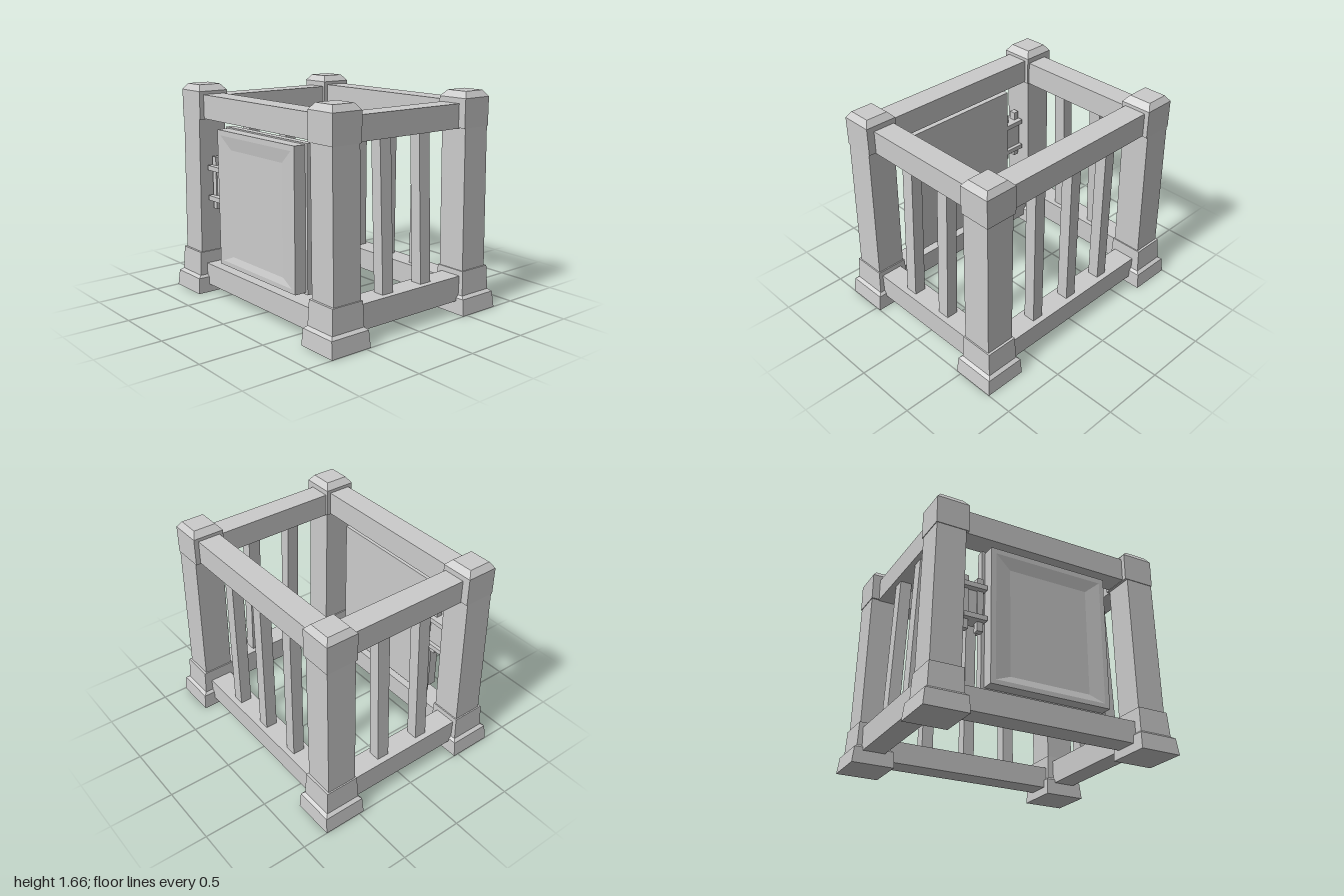
import * as THREE from 'three';

const material = new THREE.MeshStandardMaterial({ color: 0xcccccc, flatShading: true });

// Stack of rectangular sections [y, x0, x1, z0, z1], closed at both ends.
function loft(name, sections) {
  const rings = sections.map(([y, x0, x1, z0, z1]) => [
    [x0, y, z1], [x1, y, z1], [x1, y, z0], [x0, y, z0],
  ]);
  const pos = [];
  const quad = (a, b, c, d) => pos.push(...a, ...b, ...c, ...a, ...c, ...d);
  for (let i = 0; i < rings.length - 1; i++) {
    for (let k = 0; k < 4; k++) {
      const n = (k + 1) % 4;
      quad(rings[i][k], rings[i][n], rings[i + 1][n], rings[i + 1][k]);
    }
  }
  quad(...rings[rings.length - 1]);
  quad(...[...rings[0]].reverse());
  const geometry = new THREE.BufferGeometry();
  geometry.setAttribute('position', new THREE.Float32BufferAttribute(pos, 3));
  geometry.computeVertexNormals();
  const mesh = new THREE.Mesh(geometry, material);
  mesh.name = name;
  return mesh;
}

// Axis-aligned box given by its extents.
const block = (name, x0, x1, y0, y1, z0, z1) =>
  loft(name, [[y0, x0, x1, z0, z1], [y1, x0, x1, z0, z1]]);

// Place a section written for the +x +z corner in another corner.
const mirror = (sections, sx, sz) => sections.map(([y, x0, x1, z0, z1]) => [
  y,
  sx > 0 ? x0 : -x1, sx > 0 ? x1 : -x0,
  sz > 0 ? z0 : -z1, sz > 0 ? z1 : -z0,
]);

function createPost(sx, sz) {
  const post = new THREE.Group();
  post.name = 'cornerPost';
  const add = (name, sections) => post.add(loft(name, mirror(sections, sx, sz)));
  add('foot', [
    [0, 0.67, 1.0, 0.46, 0.8],
    [0.125, 0.675, 0.985, 0.465, 0.79],
    [0.148, 0.70, 0.955, 0.49, 0.76],
  ]);
  add('collar', [
    [0.14, 0.695, 0.96, 0.485, 0.765],
    [0.33, 0.70, 0.95, 0.49, 0.755],
  ]);
  add('shaft', [
    [0.32, 0.71, 0.94, 0.5, 0.737],
    [1.41, 0.692, 0.92, 0.5, 0.732],
  ]);
  add('cap', [
    [1.395, 0.672, 0.925, 0.488, 0.737],
    [1.61, 0.672, 0.925, 0.488, 0.737],
    [1.657, 0.715, 0.89, 0.525, 0.705],
  ]);
  return post;
}

function createDoor() {
  const door = new THREE.Group();
  door.name = 'door';
  door.add(block('doorBack', -0.505, 0.5, 0.27, 1.35, 0.55, 0.61));

  // Slightly smaller frame in front, sloping in to a shallow panel
  const rect = (Type, x, y0, y1) => new Type([
    new THREE.Vector2(-x, y0), new THREE.Vector2(x, y0),
    new THREE.Vector2(x, y1), new THREE.Vector2(-x, y1),
  ]);
  const shape = rect(THREE.Shape, 0.48, 0.285, 1.34);
  shape.holes.push(rect(THREE.Path, 0.44, 0.32, 1.3));
  const frame = new THREE.Mesh(
    new THREE.ExtrudeGeometry(shape, { depth: 0.1, bevelEnabled: false }), material);
  frame.position.z = 0.605;
  frame.name = 'doorFrame';
  door.add(frame);

  // Dished panel: lofted along y, then turned to face forward
  const panel = loft('doorPanel', [
    [0.6, -0.32, 0.32, -1.2, -0.37],
    [0.69, -0.32, 0.32, -1.2, -0.37],
  ]);
  panel.rotation.x = Math.PI / 2;
  door.add(panel);

  const outer = [[-0.44, 0.32], [0.44, 0.32], [0.44, 1.3], [-0.44, 1.3]];
  const inner = [[-0.32, 0.37], [0.32, 0.37], [0.32, 1.2], [-0.32, 1.2]];
  const pos = [];
  for (let k = 0; k < 4; k++) {
    const n = (k + 1) % 4;
    const a = [...outer[k], 0.705], b = [...outer[n], 0.705];
    const c = [...inner[n], 0.69], d = [...inner[k], 0.69];
    pos.push(...a, ...b, ...c, ...a, ...c, ...d);
  }
  const slope = new THREE.BufferGeometry();
  slope.setAttribute('position', new THREE.Float32BufferAttribute(pos, 3));
  slope.computeVertexNormals();
  const bevel = new THREE.Mesh(slope, material);
  bevel.name = 'doorBevel';
  door.add(bevel);
  return door;
}

function createLatch() {
  const latch = new THREE.Group();
  latch.name = 'latch';
  latch.add(block('latchBlock', -0.67, -0.5, 0.78, 1.01, 0.58, 0.63));
  for (const y of [0.755, 0.995]) {
    latch.add(block('latchPlate', -0.675, -0.495, y, y + 0.038, 0.55, 0.68));
  }
  for (const x of [-0.645, -0.53]) {
    latch.add(block('latchPin', x - 0.023, x + 0.023, 0.685, 1.1, 0.59, 0.64));
  }
  return latch;
}

export function createModel() {
  const model = new THREE.Group();
  model.name = 'cage';

  for (const sx of [-1, 1]) for (const sz of [-1, 1]) model.add(createPost(sx, sz));

  // Front and back rails
  for (const z of [-0.61, 0.61]) {
    model.add(block('topRail', -0.7, 0.7, 1.4, 1.585, z - 0.09, z + 0.09));
    model.add(block('bottomRail', -0.73, 0.73, 0.065, 0.235, z - 0.09, z + 0.09));
  }

  // Side rails and their leaning bars
  for (const s of [-1, 1]) {
    const add = (name, sections) => model.add(loft(name, mirror(sections, s, 1)));
    add('sideTopRail', [[1.39, 0.69, 0.865, -0.52, 0.52], [1.57, 0.69, 0.865, -0.52, 0.52]]);
    add('sideBottomRail', [[0.1, 0.745, 0.92, -0.52, 0.52], [0.29, 0.745, 0.92, -0.52, 0.52]]);
    for (const z of [-0.18, 0.19]) {
      add('sideBar', [
        [0.27, 0.785, 0.875, z - 0.05, z + 0.05],
        [1.41, 0.735, 0.825, z - 0.05, z + 0.05],
      ]);
    }
  }

  // Back bars
  for (const x of [-0.36, 0, 0.36]) {
    model.add(block('backBar', x - 0.046, x + 0.046, 0.22, 1.41, -0.656, -0.564));
  }

  model.add(createDoor(), createLatch());
  return model;
}
